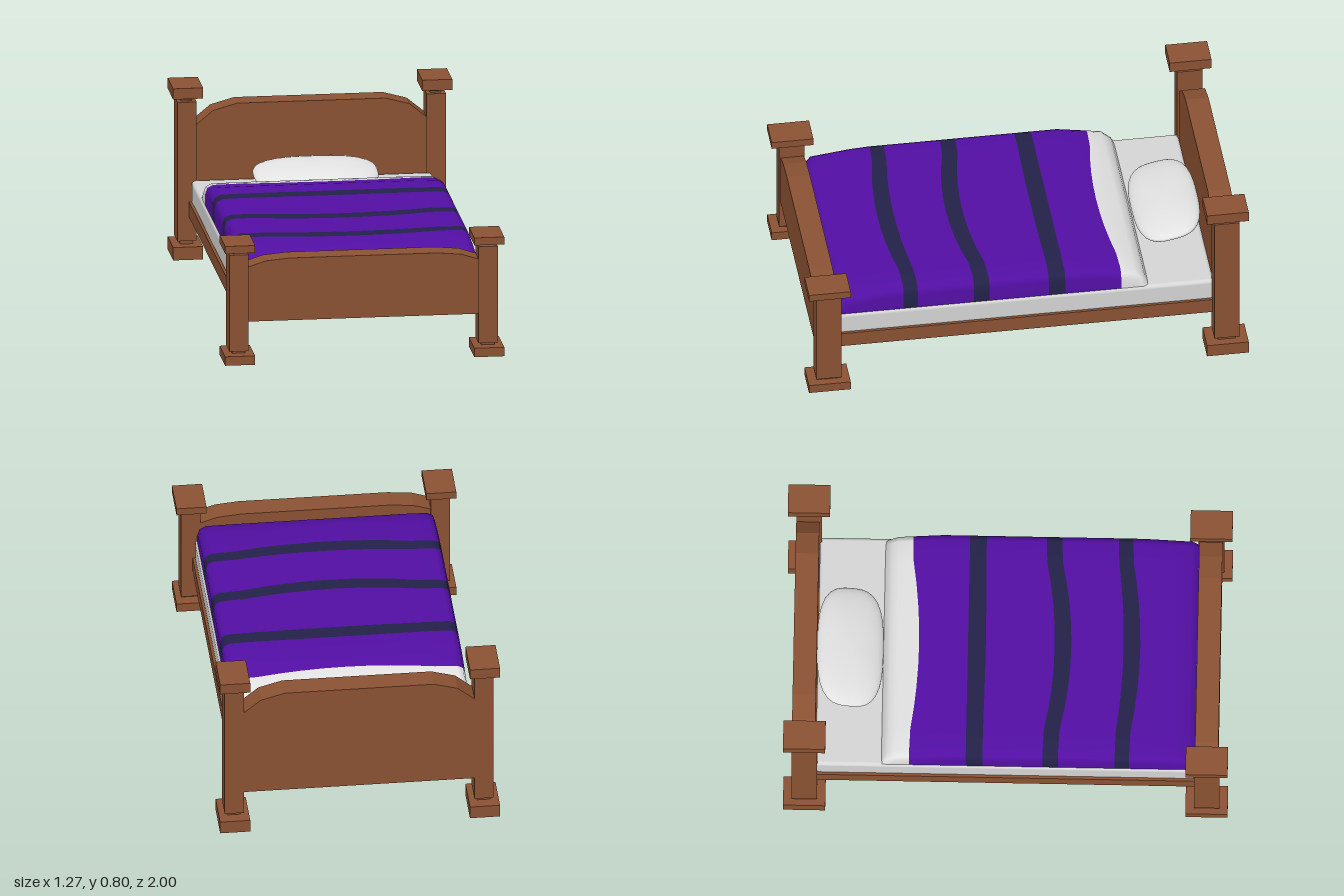
import * as THREE from 'three';
import { RoundedBoxGeometry } from 'three/addons/geometries/RoundedBoxGeometry.js';

const material = (name, color) => {
  const m = new THREE.MeshStandardMaterial({ color });
  m.name = name;
  return m;
};

export function createModel() {
  const wood = material('wood', 0x8b5233);
  const purple = material('purple blanket', 0x530fa5);
  const navy = material('navy stripe', 0x232149);
  const linen = material('white linen', 0xe2e2e2);
  const sheet = material('mattress sheet', 0xd6d6d6);

  const bed = new THREE.Group();
  bed.name = 'bed';

  const add = (parent, name, geometry, mat, x = 0, y = 0, z = 0) => {
    const mesh = new THREE.Mesh(geometry, mat);
    mesh.name = name;
    mesh.position.set(x, y, z);
    parent.add(mesh);
    return mesh;
  };

  // Posts: stacked blocks given as [name, width, depth, bottom, top]
  const blocks = [
    ['foot', 0.136, 0.19, 0, 0.06],
    ['lowerNeck', 0.06, 0.08, 0.06, 0.078],
    ['shaft', 0.087, 0.115, 0.078, 0.725],
    ['upperNeck', 0.05, 0.066, 0.725, 0.735],
    ['collar', 0.07, 0.092, 0.735, 0.75],
    ['cap', 0.136, 0.19, 0.75, 0.8],
  ];
  const addPost = (name, x, z, heightScale) => {
    const post = new THREE.Group();
    post.name = name;
    for (const [part, w, d, y0, y1] of blocks) {
      const height = (y1 - y0) * heightScale;
      add(post, part, new THREE.BoxGeometry(w, height, d), wood, 0, y0 * heightScale + height / 2, 0);
    }
    post.position.set(x, 0, z);
    bed.add(post);
  };
  for (const side of [1, -1]) {
    const label = side > 0 ? 'left' : 'right';
    addPost(label + 'HeadPost', side * 0.565, -0.905, 1);
    addPost(label + 'FootPost', side * 0.565, 0.905, 0.695);
  }

  // Boards with chamfered top corners: heights at the edge, shoulder and crown
  const addBoard = (name, z, edge, shoulder, crown) => {
    const half = [[0.53, 0.19], [0.53, edge], [0.445, shoulder], [0.337, crown]];
    const outline = [...half, ...half.map(([x, y]) => [-x, y]).reverse()];
    const shape = new THREE.Shape(outline.map(([x, y]) => new THREE.Vector2(x, y)));
    const geometry = new THREE.ExtrudeGeometry(shape, { depth: 0.105, bevelEnabled: false });
    add(bed, name, geometry, wood, 0, 0, z - 0.0525);
  };
  addBoard('headboard', -0.91, 0.61, 0.68, 0.71);
  addBoard('footboard', 0.903, 0.442, 0.47, 0.48);

  // Frame base and mattress
  add(bed, 'frameBase', new THREE.BoxGeometry(1.112, 0.07, 1.72), wood, 0, 0.225, 0);
  add(bed, 'mattress', new RoundedBoxGeometry(1.09, 0.11, 1.71, 3, 0.018), sheet, 0, 0.305, 0);

  // Blanket height along the bed
  const profile = [[0.85, 0.41], [0.82, 0.448], [0.6, 0.475], [-0.3, 0.475],
    [-0.5, 0.44], [-0.545, 0.4], [-0.56, 0.36]];
  const heightAt = (z) => {
    for (let i = 1; i < profile.length; i++) {
      const [z0, y0] = profile[i - 1], [z1, y1] = profile[i];
      if (z >= z1) return THREE.MathUtils.mapLinear(z, z0, z1, y0, y1);
    }
    return 0.36;
  };

  // Blanket rows: [z, forward bow in the middle, colour of the band behind]
  const P = 0, N = 1, W = 2;
  const rows = [
    [0.85, 0, P], [0.82, 0, P], [0.74, 0, P], [0.64, 0.01, P],
    [0.555, 0.04, N], [0.49, 0.03, P], [0.36, 0.03, P],
    [0.235, 0.05, N], [0.165, 0.045, P], [0.03, 0.02, P],
    [-0.105, 0.005, N], [-0.18, 0, P], [-0.3, 0, P],
    [-0.435, 0.035, W], [-0.5, 0, W], [-0.53, 0, W], [-0.545, 0, W], [-0.56, 0, W],
  ];
  // Cross-section columns: [x, drop below the top]
  const edge = [[0.537, 1], [0.537, 0.045], [0.527, 0.015], [0.5, 0.002],
    [0.4, 0], [0.3, 0], [0.2, 0], [0.1, 0]];
  const columns = [...edge.map(([x, d]) => [-x, d]), [0, 0], ...[...edge].reverse()];
  const positions = [], indices = [];
  const blanket = new THREE.BufferGeometry();
  rows.forEach(([z, bow, band], j) => {
    for (const [x, drop] of columns) {
      const zz = z + bow * Math.max(0, 1 - (x / 0.42) ** 2);
      positions.push(x, Math.max(0.353, heightAt(zz) - drop), zz);
    }
    if (j === rows.length - 1) return;
    const start = indices.length;
    for (let i = 0; i < columns.length - 1; i++) {
      const a = j * columns.length + i, b = a + 1, c = a + columns.length, d = c + 1;
      indices.push(a, b, c, b, d, c);
    }
    blanket.addGroup(start, indices.length - start, band);
  });
  blanket.setAttribute('position', new THREE.Float32BufferAttribute(positions, 3));
  blanket.setIndex(indices);
  blanket.computeVertexNormals();
  add(bed, 'blanket', blanket, [purple, navy, linen]);

  // Pillow: a sphere squared off in plan, flattened and tilted
  const pillow = new THREE.SphereGeometry(1, 40, 20);
  const p = pillow.attributes.position;
  for (let i = 0; i < p.count; i++) {
    const x = p.getX(i), y = p.getY(i), z = p.getZ(i);
    const angle = Math.atan2(z, x);
    const k = (Math.abs(Math.cos(angle)) ** 3 + Math.abs(Math.sin(angle)) ** 3) ** (-1 / 3);
    p.setXYZ(i, x * k * 0.283, y * 0.044, z * k * 0.152);
  }
  pillow.computeVertexNormals();
  add(bed, 'pillow', pillow, linen, 0, 0.412, -0.709).rotation.x = 0.2;

  return bed;
}
